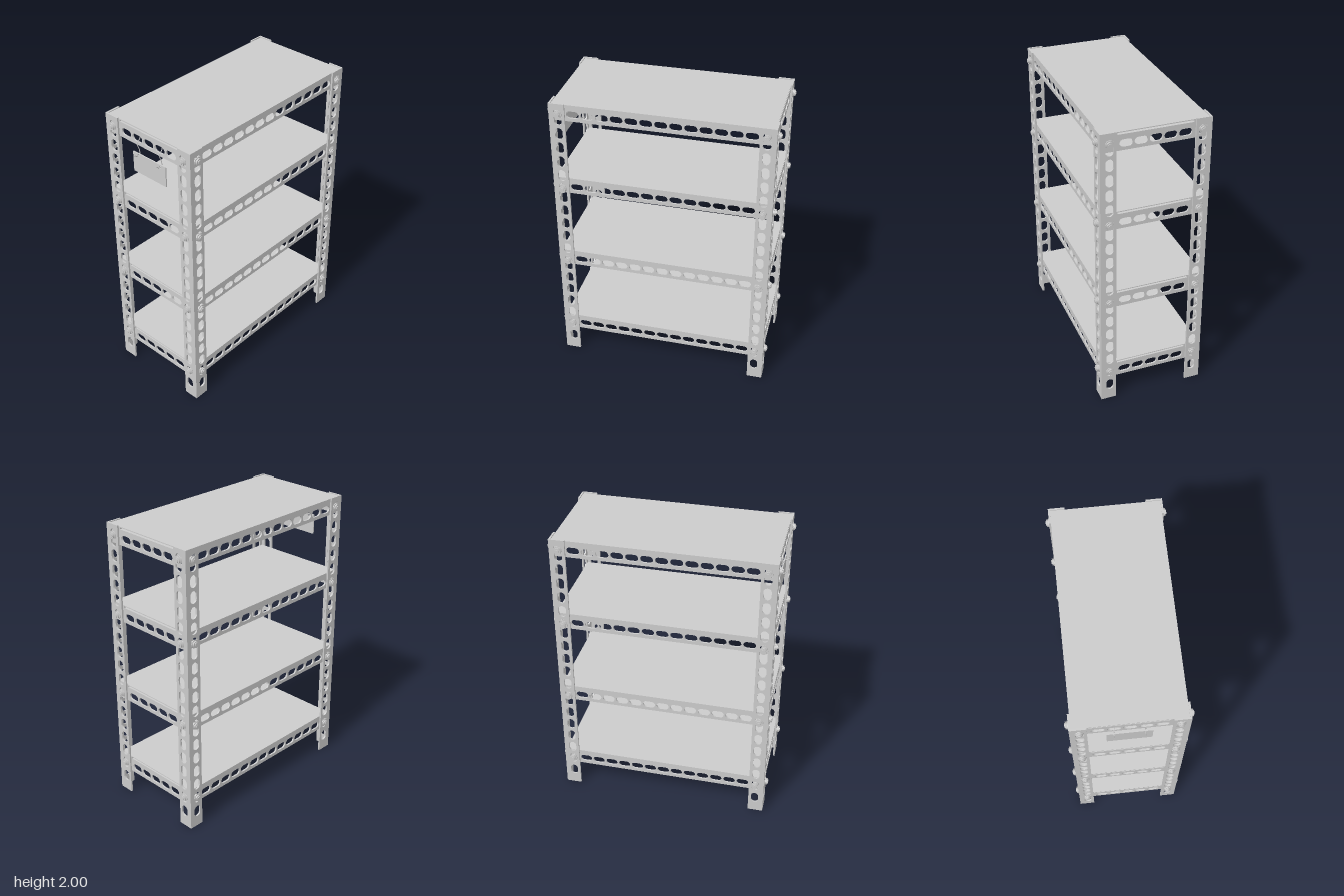
import * as THREE from 'three';

const T = 0.012;                                  // sheet thickness
const HX = 0.36, HZ = 0.727;                      // outer corner of the posts
const PITCH = 0.1035;                             // slot spacing on the posts
const BOLT_Y = [0.23, 0.79, 1.375, 1.928];
const SHELF_Y = [0.297, 0.870, 1.457, 1.994];
const mat = new THREE.MeshStandardMaterial({ color: 0xcccccc });

function add(parent, name, geo) {
  const m = new THREE.Mesh(geo, mat);
  m.name = name;
  parent.add(m);
  return m;
}

// Sheet with rounded slots [xa, ya, xb, yb, r]; outer face at z = 0
function plate(x0, y0, x1, y1, slots, t = T) {
  const s = new THREE.Shape();
  s.moveTo(x0, y0).lineTo(x1, y0).lineTo(x1, y1).lineTo(x0, y1).closePath();
  for (const [xa, ya, xb, yb, r] of slots) {
    const a = Math.atan2(yb - ya, xb - xa), q = Math.PI / 2;
    const h = new THREE.Path();
    h.absarc(xb, yb, r, a - q, a + q, false);
    h.absarc(xa, ya, r, a + q, a + 3 * q, false);
    h.closePath();
    s.holes.push(h);
  }
  return new THREE.ExtrudeGeometry(s, { depth: t, bevelEnabled: false, curveSegments: 8 }).translate(0, 0, -t);
}

// Slot runs on a post: each run starts at a bolt and climbs to the next one
function postSlots() {
  const x = -0.06, r = 0.026, h = 0.015, out = [];
  out.push([x, BOLT_Y[0] - PITCH - 0.01 - h, x, BOLT_Y[0] - PITCH - 0.01 + h, r]);
  out.push([x, BOLT_Y[0] - h, x, BOLT_Y[0] + h, r]);
  for (let i = 0; i < 3; i++) {
    for (let k = 1; k < 5; k++) {
      const y = BOLT_Y[i] + k * PITCH;
      out.push([x, y - h, x, y + h, r]);
    }
    // the last slot of a run merges with the next bolt slot
    out.push([x, BOLT_Y[i] + 5 * PITCH - h, x, BOLT_Y[i + 1] + h, r]);
  }
  return out;
}

// Bolt along +z, post face at z = 0
function makeBolt() {
  const g = new THREE.Group();
  g.name = 'bolt';
  const cyl = (name, r, n, z0, z1) =>
    add(g, name, new THREE.CylinderGeometry(r, r, z1 - z0, n).rotateX(Math.PI / 2).translate(0, 0, (z0 + z1) / 2));
  cyl('washer', 0.028, 20, 0, 0.005);
  cyl('hexHead', 0.024, 6, 0.005, 0.017);
  cyl('boltTip', 0.014, 14, 0.017, 0.022);
  cyl('shank', 0.013, 12, -0.045, 0.001);
  cyl('hexNut', 0.024, 6, -2 * T - 0.014, -2 * T);
  return g;
}

// Slotted angle post, outer corner at the origin, legs along -x and -z
function makePost() {
  const g = new THREE.Group();
  g.name = 'post';
  const slots = postSlots();
  add(g, 'postFace', plate(-0.105, 0, 0, 2, slots));
  add(g, 'postSide', plate(-0.105, 0, -T, 2, slots).rotateY(-Math.PI / 2).translate(-T, 0, 0));
  for (const y of BOLT_Y) {
    const a = makeBolt(), b = makeBolt();
    a.position.set(-0.06, y, 0);
    b.position.set(0, y, -0.06);
    b.rotation.y = Math.PI / 2;
    g.add(a, b);
  }
  return g;
}

// Slotted angle beam along x: top edge at y = 0, outer face at z = 0
function makeBeam(name, half, centres, height) {
  const g = new THREE.Group();
  g.name = name;
  const slots = y => centres.map(c => [c - 0.018, y, c + 0.018, y, 0.024]);
  add(g, 'beamFace', plate(-half, -height, half, 0, slots(-height * 0.56)));
  add(g, 'beamFlange', plate(-half, -0.103, half, -T, slots(-0.06)).rotateX(Math.PI / 2).translate(0, 0, 0));
  g.children[1].position.y = -T;
  return g;
}

export function createModel() {
  const root = new THREE.Group();
  root.name = 'shelvingRack';

  // Corner posts
  [[1, 1], [1, -1], [-1, -1], [-1, 1]].forEach(([sx, sz], i) => {
    const p = makePost();
    p.position.set(sx * HX, 0, sz * HZ);
    p.rotation.y = i * Math.PI / 2;
    root.add(p);
  });

  // Shelves with their four beams
  const row = (n, step, end) => {
    const c = [-end, end];
    for (let i = -n; i <= n; i++) c.push(i * step);
    return c;
  };
  const shortSlots = row(2, 0.0955, 0.3), longSlots = row(6, 0.0955, 0.667);
  for (const y of SHELF_Y) {
    add(root, 'shelf', new THREE.BoxGeometry(2 * (HX - T), 0.006, 2 * (HZ - T))).position.y = y - 0.003;
    for (const s of [1, -1]) {
      const end = makeBeam(s > 0 ? 'frontBeam' : 'backBeam', HX - 2 * T, shortSlots, 0.105);
      end.position.set(0, y - 0.006 - T, s * (HZ - T));
      end.rotation.y = s > 0 ? 0 : Math.PI;
      const side = makeBeam(s > 0 ? 'leftBeam' : 'rightBeam', HZ - T, longSlots, 0.107);
      side.position.set(s * (HX - T), y - 0.006, 0);
      side.rotation.y = s * Math.PI / 2;
      root.add(end, side);
    }
  }

  // Hanging sign with two wire hooks
  const sign = new THREE.Group();
  sign.name = 'hangingSign';
  const hole = x => [x - 0.001, 1.795, x + 0.001, 1.795, 0.008];
  add(sign, 'signPlate', plate(-0.14, 1.67, 0.14, 1.81, [hole(-0.095), hole(0.095)], 0.008)).position.z = 0.717;
  for (const x of [-0.095, 0.095]) {
    const pts = [[1.93, 0.694], [1.912, 0.694], [1.897, 0.705], [1.885, 0.72], [1.83, 0.704],
      [1.797, 0.704], [1.794, 0.725], [1.808, 0.746]].map(([y, z]) => new THREE.Vector3(x, y, z));
    add(sign, 'wireHook', new THREE.TubeGeometry(new THREE.CatmullRomCurve3(pts), 32, 0.003, 8));
  }
  root.add(sign);
  return root;
}
